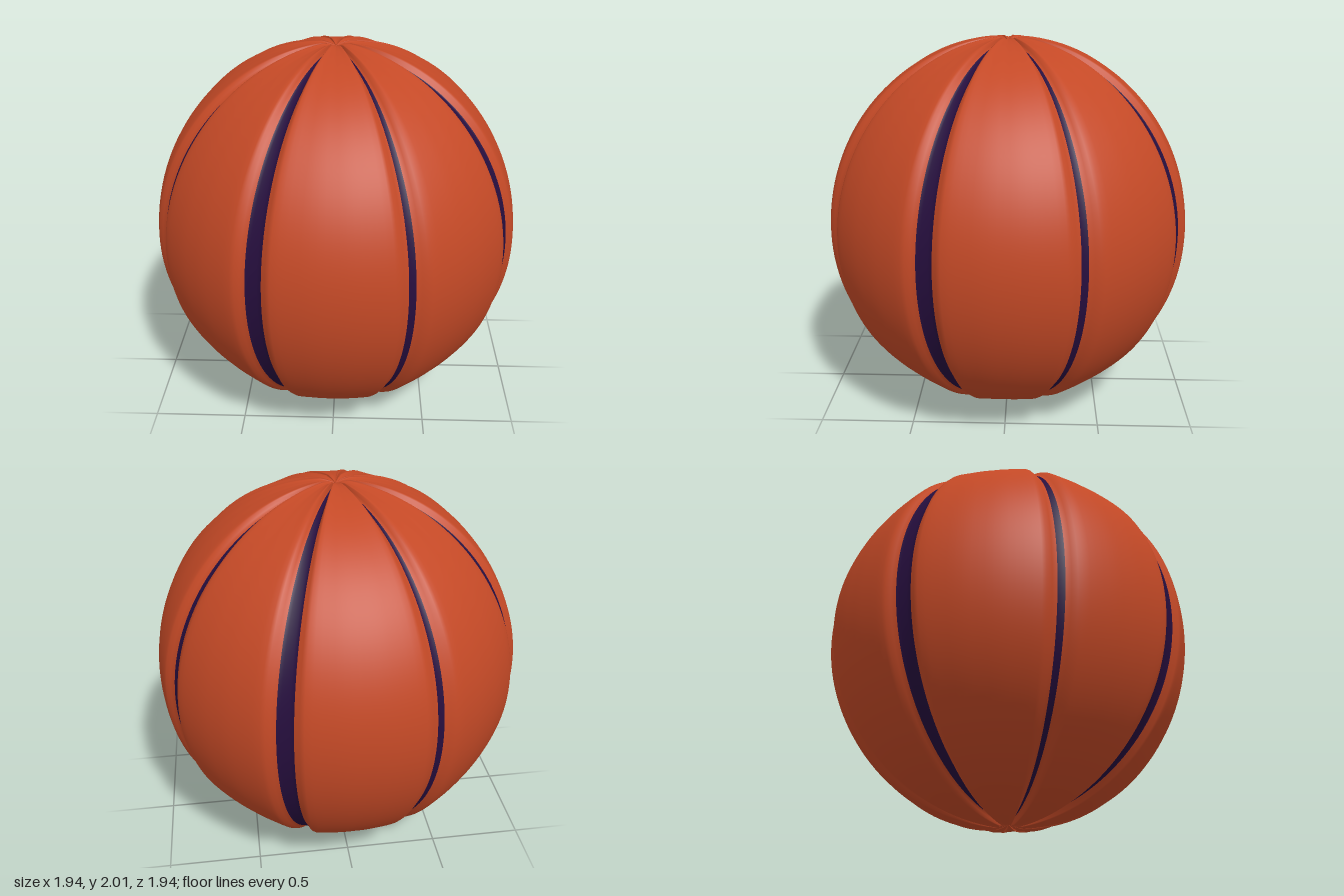
import * as THREE from 'three';

// Quarter-turn outline of the ball: [angle in degrees, radius factor, seam starts here]
const PROFILE = [
  [61, 1.009], [62.4, 1.005], [65.2, 0.981, true], [67.8, 0.978, true], [70.4, 0.981], [72.2, 1.005],
  [73.6, 1.009], [80, 1.003], [90.9, 1], [101, 1.003], [108, 1.008], [109.3, 1.005],
  [112.7, 0.979, true], [115, 0.979], [118.1, 1.004], [119.5, 1.008], [126, 1.003], [135, 1], [144, 1.003],
];
const ROWS = 80;
const WIDTH = 0.968; // equator radius; the vertical radius is 1

// Repeat the outline four times, subdividing long spans
function makeColumns() {
  const columns = [];
  for (let q = 0; q < 4; q++) {
    PROFILE.forEach(([a, f, seam], i) => {
      const [a2, f2] = PROFILE[i + 1] ?? [PROFILE[0][0] + 90, PROFILE[0][1]];
      const n = Math.ceil((a2 - a) / 2.5);
      for (let k = 0; k < n; k++) {
        const t = k / n;
        columns.push({
          angle: THREE.MathUtils.degToRad(a + (a2 - a) * t + q * 90),
          factor: f + (f2 - f) * t,
          seam: !!seam,
        });
      }
    });
  }
  return columns;
}

function makeBall() {
  const columns = makeColumns();
  const n = columns.length;
  const positions = [], panels = [], seams = [];

  // Rows of points from the bottom pole to the top pole
  for (let i = 0; i <= ROWS; i++) {
    const lat = (i / ROWS - 0.5) * Math.PI;
    const c = Math.cos(lat);
    // The grooves merge into a small dimple at each pole
    const blend = THREE.MathUtils.smoothstep(c, 0, 0.07);
    for (const { angle, factor } of columns) {
      const f = THREE.MathUtils.lerp(0.985, factor, blend);
      positions.push(WIDTH * f * c * Math.cos(angle), 1 + f * Math.sin(lat), -WIDTH * f * c * Math.sin(angle));
    }
  }

  // Faces, sorted into orange panels and dark seams
  for (let i = 0; i < ROWS; i++) {
    for (let j = 0; j < n; j++) {
      const k = (j + 1) % n;
      const a = i * n + j, b = i * n + k, c = b + n, d = a + n;
      const list = columns[j].seam ? seams : panels;
      if (i > 0) list.push(a, b, c);
      if (i < ROWS - 1) list.push(a, c, d);
      else if (i === 0) list.push(a, c, d);
    }
  }

  const geometry = new THREE.BufferGeometry();
  geometry.setAttribute('position', new THREE.Float32BufferAttribute(positions, 3));
  geometry.setIndex([...panels, ...seams]);
  geometry.addGroup(0, panels.length, 0);
  geometry.addGroup(panels.length, seams.length, 1);
  geometry.computeVertexNormals();
  return geometry;
}

export function createModel() {
  const orange = new THREE.MeshStandardMaterial({ color: 0xc44926 });
  orange.name = 'orange rubber';
  const purple = new THREE.MeshStandardMaterial({ color: 0x260e3e });
  purple.name = 'dark purple seam';

  const group = new THREE.Group();
  group.name = 'ball';
  const ball = new THREE.Mesh(makeBall(), [orange, purple]);
  ball.name = 'groovedBall';
  group.add(ball);
  return group;
}
